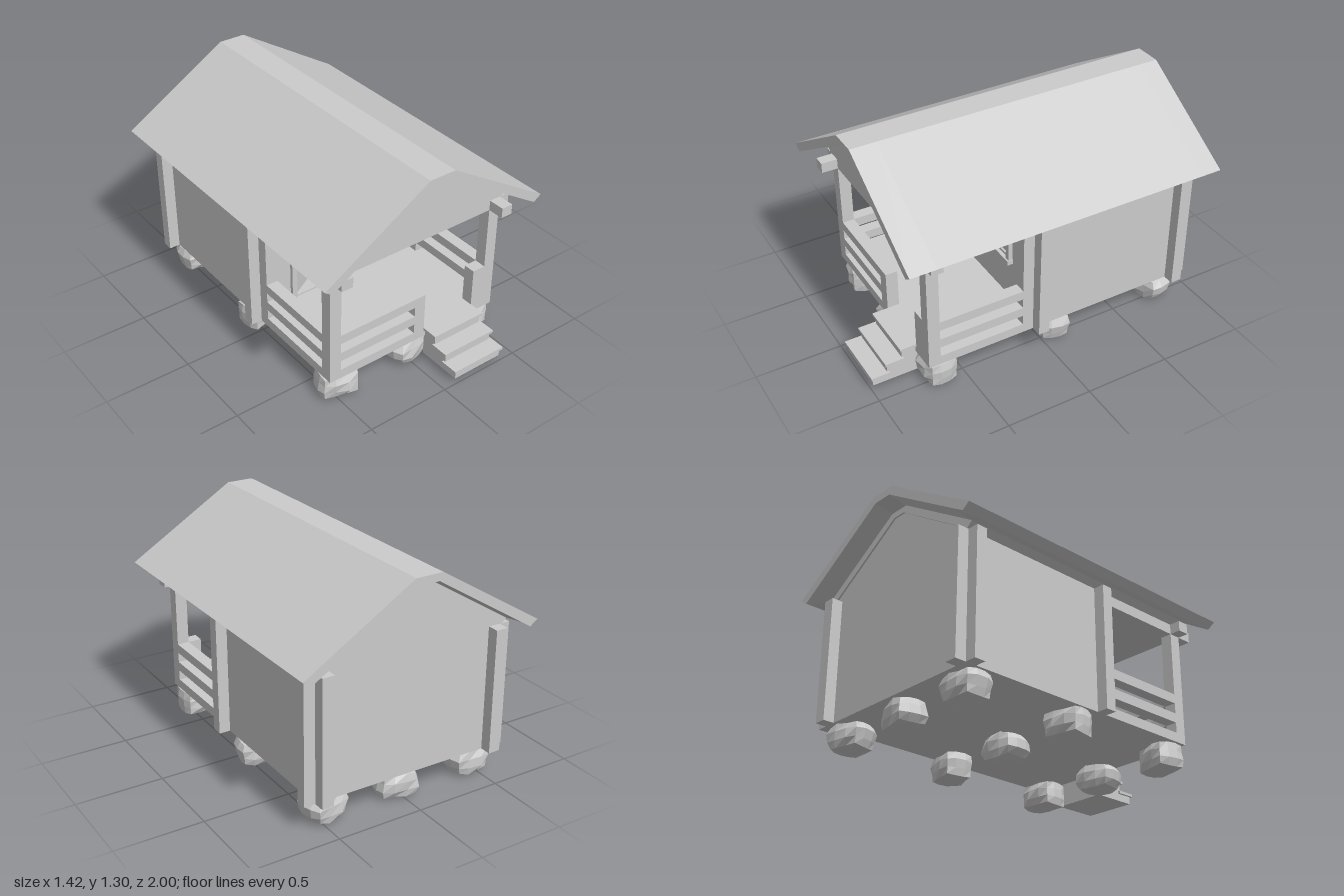
import * as THREE from 'three';

const grey = new THREE.MeshStandardMaterial({ color: 0xcccccc, flatShading: true });

function add(parent, name, geometry) {
  const mesh = new THREE.Mesh(geometry, grey);
  mesh.name = name;
  parent.add(mesh);
  return mesh;
}

// Box given by its limits on each axis
function box(parent, name, x0, x1, y0, y1, z0, z1) {
  const mesh = add(parent, name, new THREE.BoxGeometry(x1 - x0, y1 - y0, z1 - z0));
  mesh.position.set((x0 + x1) / 2, (y0 + y1) / 2, (z0 + z1) / 2);
  return mesh;
}

// Mirror a half profile (x > 0, listed from left to right) into a closed shape
const points = (list) => list.map(([x, y]) => new THREE.Vector2(x, y));
const prism = (shape, z0, z1, steps = 1) =>
  new THREE.ExtrudeGeometry(shape, { depth: z1 - z0, steps, bevelEnabled: false }).translate(0, 0, z0);

function mirrored(half) {
  const other = half.map(([x, y]) => [-x, y]).reverse();
  return new THREE.Shape(points([...half, ...other]));
}

// Roof shell whose underside is hollowed a little towards both ends
function roofGeometry() {
  const shape = mirrored([[0.06, 1.245], [0.6, 0.91], [0.665, 0.888], [0.71, 0.92], [0.08, 1.305]]
    .reverse());
  // Close as outer left to right, then inner right to left
  const outer = [[-0.71, 0.92], [-0.08, 1.305], [0.08, 1.305], [0.71, 0.92]];
  const inner = [[0.665, 0.888], [0.6, 0.91], [0.06, 1.245], [-0.06, 1.245], [-0.6, 0.91], [-0.665, 0.888]];
  shape.setFromPoints(points([...outer, ...inner]));
  const ring = new THREE.Shape(points([...outer, ...inner]));
  const g = prism(ring, 0, 3, 3);
  const stations = [-1, -0.885, 0.735, 0.885];
  const p = g.attributes.position;
  for (let i = 0; i < p.count; i++) {
    const k = Math.round(p.getZ(i));
    const ax = Math.abs(p.getX(i));
    const isInner = Math.abs(ax - 0.6) < 0.005 || Math.abs(ax - 0.06) < 0.005;
    if (isInner && (k === 0 || k === 3)) p.setY(i, p.getY(i) + 0.017);
    p.setZ(i, stations[k]);
  }
  g.computeVertexNormals();
  return g;
}

// Irregular boulder: a box with pulled-in corners and seeded dents
function stoneGeometry(w, h, d, seed) {
  const g = new THREE.BoxGeometry(2, 2, 2, 3, 3, 3);
  const p = g.attributes.position;
  const v = new THREE.Vector3();
  for (let i = 0; i < p.count; i++) {
    v.fromBufferAttribute(p, i);
    const n = Math.sin(v.x * 12.9 + v.y * 78.2 + v.z * 37.7 + seed * 5.3) * 0.06;
    const ball = v.clone().normalize().multiplyScalar(1.2);
    v.lerp(ball, 0.65).multiplyScalar(0.93 + n);
    p.setXYZ(i, v.x * w / 2, THREE.MathUtils.clamp(v.y, -1, 1) * h / 2, v.z * d / 2);
  }
  g.computeVertexNormals();
  return g;
}

export function createModel() {
  const house = new THREE.Group();
  house.name = 'cabin';
  const group = (name) => {
    const g = new THREE.Group();
    g.name = name;
    house.add(g);
    return g;
  };

  // Foundation stones, three by three
  const stones = group('foundationStones');
  [-0.46, 0.01, 0.46].forEach((x, i) => [-0.78, -0.09, 0.64].forEach((z, j) => {
    const s = add(stones, 'stone', stoneGeometry(0.24, 0.16, 0.19, i * 3 + j));
    s.position.set(x, 0.082, z);
    s.rotation.y = Math.sin(i * 4.1 + j * 2.3) * 0.25;
  }));

  // Floor and walls, crossing at the corners
  box(house, 'floor', -0.565, 0.565, 0.16, 0.215, -0.875, 0.73);
  const walls = group('walls');
  box(walls, 'backWall', -0.63, 0.63, 0.16, 0.88, -0.875, -0.81);
  const front = new THREE.Shape(points([[-0.63, 0.16], [0.63, 0.16], [0.63, 0.88], [-0.63, 0.88]]));
  front.holes.push(new THREE.Path(points([[-0.333, 0.225], [-0.333, 0.665], [-0.138, 0.665], [-0.138, 0.225]])));
  add(walls, 'frontWall', prism(front, 0.025, 0.09));

  // Side walls, porch posts, beams and side railings
  const porch = group('porch');
  const slats = [[0.275, 0.33], [0.39, 0.445]];
  for (const s of [-1, 1]) {
    const a = s < 0 ? -0.565 : 0.495;
    const b = a + 0.07;
    box(walls, 'sideWall', a, b, 0.16, 0.88, -0.94, 0.155);
    box(porch, 'porchPost', a, b, 0.16, 0.88, 0.66, 0.73);
    box(porch, 'sideBeam', a, b, 0.82, 0.88, 0.155, 0.825);
    for (const [y0, y1] of slats) box(porch, 'sideRail', a, b, y0, y1, 0.155, 0.66);
  }
  box(porch, 'crossBeam', -0.63, 0.63, 0.82, 0.88, 0.66, 0.73);
  for (const [y0, y1] of slats) box(porch, 'frontRail', -0.495, 0, y0, y1, 0.66, 0.73);
  box(porch, 'railPost', 0, 0.07, 0.16, 0.445, 0.66, 0.73);
  box(porch, 'railPost', 0.415, 0.495, 0.16, 0.445, 0.66, 0.73);

  // Gabled attic, its trim and the roof
  add(house, 'attic', prism(mirrored([[0.04, 1.21], [0.565, 0.88], [0.565, 0.82]]), -0.875, 0.73));
  add(house, 'gableTrim', prism(new THREE.Shape(points([
    [-0.6, 0.91], [-0.06, 1.245], [0.06, 1.245], [0.6, 0.91],
    [0.565, 0.88], [0.04, 1.21], [-0.04, 1.21], [-0.565, 0.88]])), -0.885, 0.735));
  add(house, 'roof', roofGeometry());

  // Door standing ajar in its frame
  const door = group('door');
  box(door, 'doorJamb', -0.365, -0.333, 0.215, 0.665, 0.02, 0.11);
  box(door, 'doorJamb', -0.138, -0.107, 0.215, 0.665, 0.02, 0.11);
  box(door, 'doorLintel', -0.37, -0.095, 0.665, 0.695, 0.02, 0.12);
  const leaf = new THREE.Group();
  leaf.name = 'doorLeaf';
  leaf.position.set(-0.333, 0, 0.085);
  leaf.rotation.y = 0.52;
  door.add(leaf);
  box(leaf, 'doorPanel', 0, 0.19, 0.225, 0.66, -0.02, 0);
  box(leaf, 'doorFace', 0.012, 0.178, 0.235, 0.65, -0.024, 0.004);
  for (const z of [0.022, -0.042]) {
    add(leaf, 'doorKnob', new THREE.SphereGeometry(0.013, 12, 8)).position.set(0.162, 0.455, z);
  }
  box(leaf, 'knobStem', 0.157, 0.167, 0.45, 0.46, -0.042, 0.022);

  // Window with four panes
  const win = group('window');
  box(win, 'windowLintel', 0.107, 0.35, 0.67, 0.697, 0.08, 0.125);
  box(win, 'windowSill', 0.11, 0.347, 0.46, 0.488, 0.08, 0.125);
  box(win, 'windowJamb', 0.117, 0.147, 0.488, 0.67, 0.08, 0.115);
  box(win, 'windowJamb', 0.312, 0.342, 0.488, 0.67, 0.08, 0.115);
  const sash = new THREE.Shape(points([[0.147, 0.488], [0.312, 0.488], [0.312, 0.67], [0.147, 0.67]]));
  for (const x of [0.156, 0.235]) for (const y of [0.5, 0.585]) {
    sash.holes.push(new THREE.Path(points([[x, y], [x, y + 0.072], [x + 0.067, y + 0.072], [x + 0.067, y]])));
  }
  add(win, 'windowSash', prism(sash, 0.085, 0.102));

  // Entrance steps with overhanging treads
  const steps = group('steps');
  [[0.215, 0.825], [0.15, 0.915], [0.088, 1]].forEach(([y, z]) => {
    box(steps, 'tread', 0.07, 0.417, y - 0.016, y, z - 0.11, z);
    box(steps, 'stepBlock', 0.083, 0.404, 0.028, y - 0.016, 0.72, z - 0.012);
  });

  return house;
}
